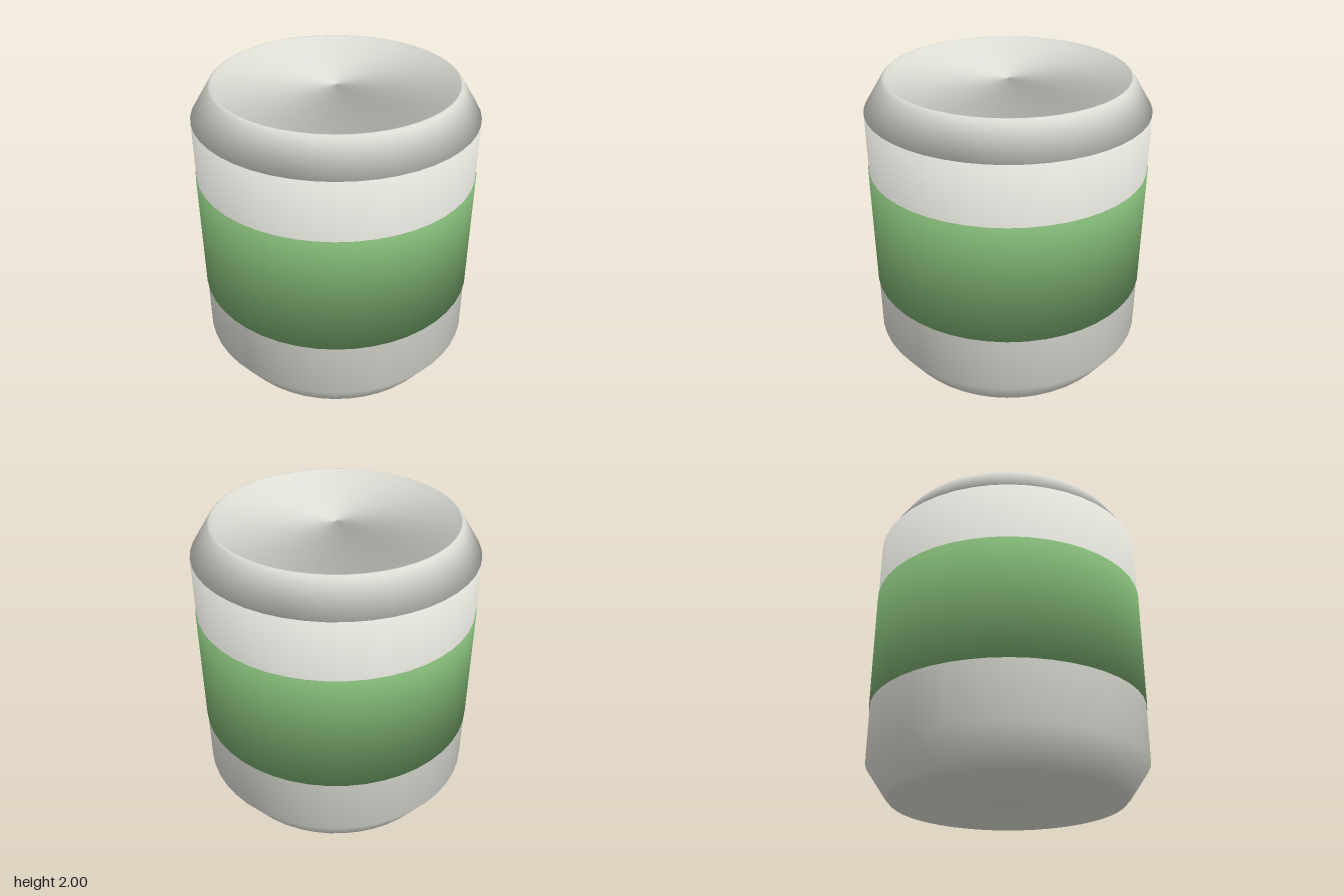
import * as THREE from 'three';

const SEGMENTS = 48;

// Revolve a profile (listed counter-clockwise, up the outside) with evenly blended normals.
function revolve(name, profile, closed, material) {
  const n = profile.length;
  const pts = profile.map(([r, y]) => new THREE.Vector2(r, y));
  if (closed) pts.push(pts[0].clone());
  const edgeNormal = (i) => {
    const a = profile[(i + n) % n], b = profile[(i + 1) % n];
    return new THREE.Vector2(b[1] - a[1], a[0] - b[0]).normalize();
  };
  const normals = pts.map((_, i) => {
    if (!closed && i === 0) return edgeNormal(0);
    if (!closed && i === n - 1) return edgeNormal(n - 2);
    return edgeNormal((i - 1 + n) % n).add(edgeNormal(i % n)).normalize();
  });

  const geometry = new THREE.LatheGeometry(pts, SEGMENTS);
  const attr = geometry.attributes.normal;
  for (let s = 0, k = 0; s <= SEGMENTS; s++) {
    const a = (s / SEGMENTS) * Math.PI * 2;
    for (const v of normals) attr.setXYZ(k++, v.x * Math.sin(a), v.y, v.x * Math.cos(a));
  }
  const mesh = new THREE.Mesh(geometry, material);
  mesh.name = name;
  return mesh;
}

export function createModel() {
  const metal = new THREE.MeshStandardMaterial({ color: 0xdcdcd5 });
  metal.name = 'pale metal';
  const green = new THREE.MeshStandardMaterial({ color: 0x7db071 });
  green.name = 'label green';

  const can = new THREE.Group();
  can.name = 'can';

  // Body with tapered foot
  can.add(revolve('body', [
    [0, 0], [0.75, 0], [0.78, 0.03], [0.91, 0.22], [0.91, 1.79], [0, 1.79],
  ], false, metal));

  // Sloping shoulder, thin rim and recessed top
  can.add(revolve('lid', [
    [0, 1.79], [0.91, 1.79], [0.79, 1.985], [0.775, 2], [0.765, 2], [0.76, 1.96], [0, 1.96],
  ], true, metal));

  // Wrapped label band
  can.add(revolve('labelBand', [
    [0.9, 0.6], [0.915, 0.6], [0.915, 1.4], [0.9, 1.4],
  ], true, green));

  return can;
}
